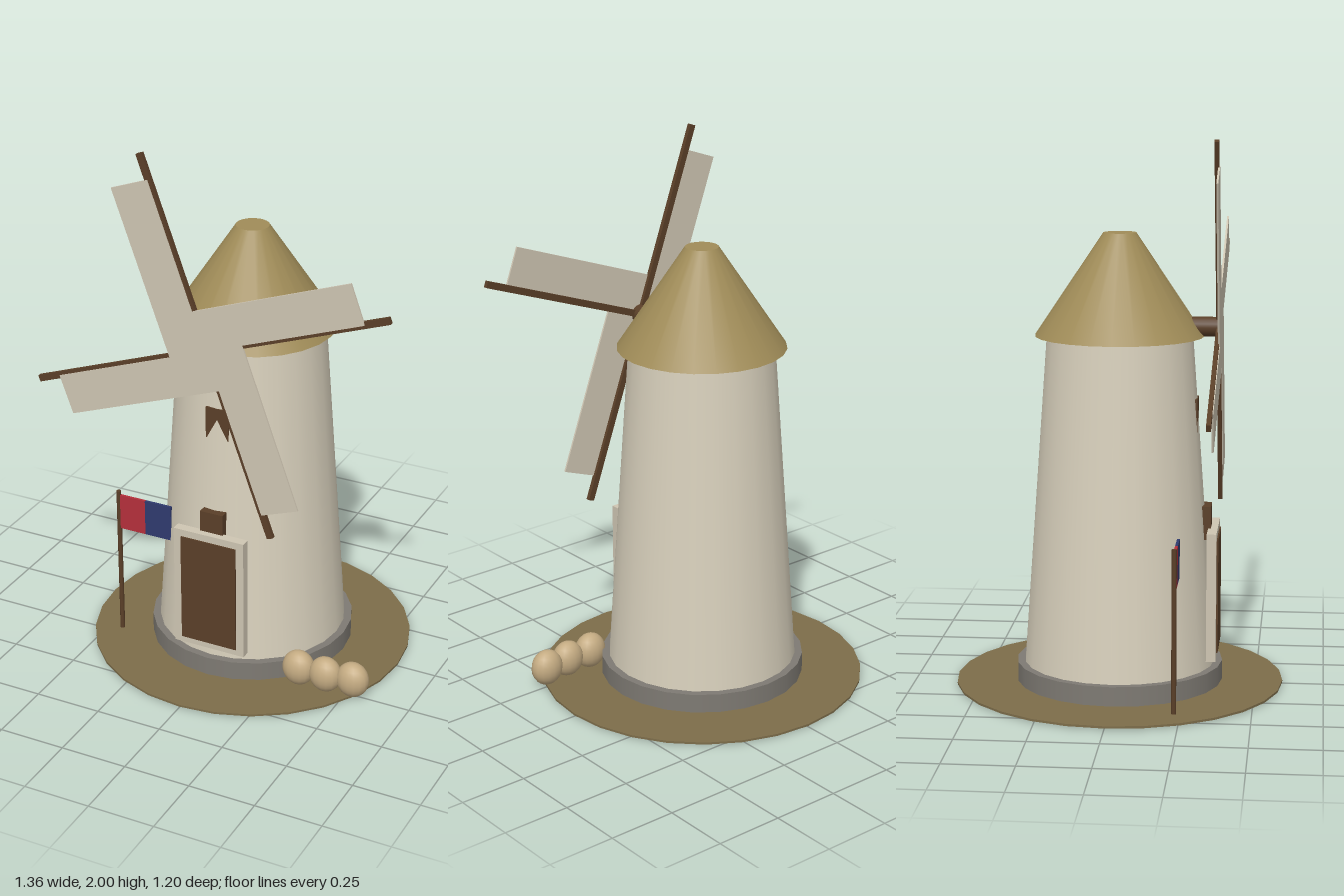
import * as THREE from 'three';

const mat = (name, color) => {
  const m = new THREE.MeshStandardMaterial({ color });
  m.name = name;
  return m;
};

export function createModel() {
  const plaster = mat('plaster', 0xd8d0bc);
  const canvas = mat('canvas', 0xcec5b2);
  const thatch = mat('thatch', 0xa08c58);
  const earth = mat('earth', 0x7d6d4a);
  const stone = mat('stone', 0x7e7a73);
  const wood = mat('wood', 0x5a3f28);
  const red = mat('red cloth', 0xb52f3b);
  const blue = mat('blue cloth', 0x2f3a6e);
  const sackcloth = mat('sackcloth', 0xc4ab82);

  const model = new THREE.Group();
  model.name = 'windmill';

  const add = (parent, name, geometry, material, x, y, z) => {
    const mesh = new THREE.Mesh(geometry, material);
    mesh.name = name;
    mesh.position.set(x, y, z);
    parent.add(mesh);
    return mesh;
  };
  // Box given by its lower and upper limits on each axis
  const box = (parent, name, material, [x0, x1], [y0, y1], [z0, z1]) =>
    add(parent, name, new THREE.BoxGeometry(x1 - x0, y1 - y0, z1 - z0), material,
      (x0 + x1) / 2, (y0 + y1) / 2, (z0 + z1) / 2);
  // Upright round part between two heights
  const round = (name, material, rTop, rBottom, y0, y1, sides, x = 0, z = 0) =>
    add(model, name, new THREE.CylinderGeometry(rTop, rBottom, y1 - y0, sides), material,
      x, (y0 + y1) / 2, z);

  // Ground, footing, tower and roof
  round('ground', earth, 0.6, 0.6, 0.004, 0.012, 28);
  round('footing', stone, 0.378, 0.378, 0, 0.083, 24);
  round('tower', plaster, 0.265, 0.35, 0.083, 1.287, 24);
  round('roof', thatch, 0.06, 0.307, 1.285, 1.655, 24);

  // Door and the two small windows above it
  box(model, 'doorFrame', canvas, [-0.14, 0.14], [0.115, 0.587], [0.325, 0.36]);
  box(model, 'door', wood, [-0.11, 0.11], [0.14, 0.56], [0.35, 0.366]);
  box(model, 'lowerWindow', wood, [-0.045, 0.045], [0.545, 0.667], [0.29, 0.335]);
  box(model, 'upperWindow', wood, [-0.045, 0.045], [0.94, 1.06], [0.24, 0.284]);

  // Sail shaft
  const shaft = add(model, 'sailShaft', new THREE.CylinderGeometry(0.036, 0.036, 0.16, 16),
    wood, 0, 1.319, 0.28);
  shaft.rotation.x = Math.PI / 2;

  // Four arms, each with a cloth panel on one side
  const sails = new THREE.Group();
  sails.name = 'sails';
  sails.position.set(0, 1.317, 0);
  for (let i = 0; i < 4; i++) {
    const sail = new THREE.Group();
    sail.name = 'sail';
    sail.rotation.z = THREE.MathUtils.degToRad(20 + 90 * i);
    box(sail, 'sailArm', wood, [0, 0.72], [-0.012, 0.012], [0.348, 0.364]);
    box(sail, 'sailPanel', canvas, [0, 0.627], [0, 0.149], [0.36, 0.367]);
    sails.add(sail);
  }
  model.add(sails);

  // Flag on its pole
  round('flagPole', wood, 0.009, 0.009, 0.005, 0.602, 10, -0.44, 0.229);
  box(model, 'flagRed', red, [-0.434, -0.328], [0.448, 0.587], [0.224, 0.234]);
  box(model, 'flagBlue', blue, [-0.328, -0.22], [0.448, 0.587], [0.224, 0.234]);

  // Row of sacks
  for (const [x, z] of [[0.322, 0.273], [0.428, 0.271], [0.531, 0.26]]) {
    const sack = add(model, 'sack', new THREE.SphereGeometry(1, 16, 12), sackcloth, x, 0.075, z);
    sack.scale.set(0.062, 0.068, 0.05);
  }

  return model;
}
